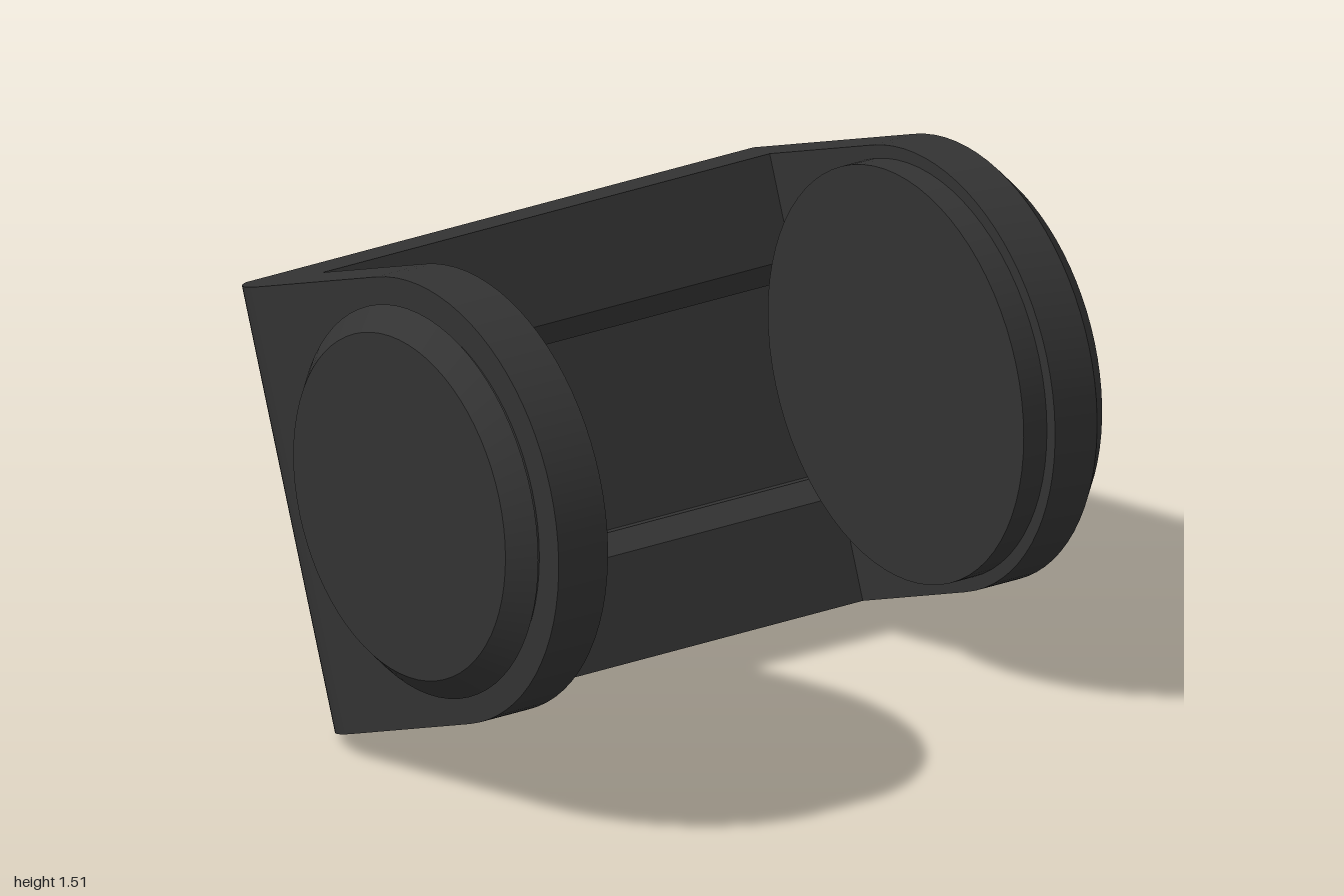
import * as THREE from 'three';
import { toCreasedNormals } from 'three/addons/utils/BufferGeometryUtils.js';

const R = 0.635;       // half height of the bracket and radius of its lobes
const BACK = 0.865;    // distance from lobe axis to back face
const BEVEL = 0.065;
const FILLET = 0.29;   // rounded back edge on the right side
const LEFT = 1, RIGHT = -0.92;

const material = new THREE.MeshStandardMaterial({ color: 0x333333 });

// Back face position at a given x, following the fillet and the bevel
function backAt(x) {
  const t = FILLET - (x - RIGHT);
  if (t > 0) return BACK - FILLET + Math.sqrt(Math.max(0, FILLET * FILLET - t * t));
  return BACK - insetAt(x);
}
const insetAt = (x) => Math.max(0, x - (LEFT - BEVEL));

// Bevelled back corners, bottom to top, as [depth, height]
function backCorners(x) {
  const u = backAt(x), r = R - insetAt(x);
  const c = Math.max(0, u - (BACK - BEVEL));
  return [[u - c, -r], [u, c - r], [u, r - c], [u - c, r]];
}

// D-shaped side plate section
function armSection(x) {
  const pts = [], r = R - insetAt(x), n = 40;
  for (let i = 0; i <= n; i++) {
    const a = Math.PI * (0.5 + i / n);
    pts.push([r * Math.cos(a), r * Math.sin(a)]);
  }
  return pts.concat(backCorners(x));
}

// Back wall section with a bevelled groove in its inner face
function wallSection(x) {
  const half = [[0.51, R], [0.51, 0.336], [0.57, 0.275], [0.64, 0.275]];
  const lower = half.map(([u, v]) => [u, -v]).reverse();
  return [...half, ...lower, ...backCorners(x)];
}

// Skin a section function across x stations
function loft(name, section, xs, capped) {
  const rings = xs.map((x) => section(x).map(([u, v]) => [x, v, -u]));
  const pos = [];
  const tri = (a, b, c) => pos.push(...a, ...b, ...c);
  for (let k = 0; k + 1 < rings.length; k++) {
    const a = rings[k], b = rings[k + 1];
    for (let i = 0; i < a.length; i++) {
      const j = (i + 1) % a.length;
      tri(a[i], a[j], b[j]);
      tri(a[i], b[j], b[i]);
    }
  }
  if (capped) {
    const first = rings[0], last = rings[rings.length - 1];
    const faces = (ring) => THREE.ShapeUtils.triangulateShape(
      ring.map((p) => new THREE.Vector2(-p[2], p[1])), []);
    for (const [a, b, c] of faces(first)) tri(first[a], first[c], first[b]);
    for (const [a, b, c] of faces(last)) tri(last[a], last[b], last[c]);
  }
  const geo = new THREE.BufferGeometry();
  geo.setAttribute('position', new THREE.Float32BufferAttribute(pos, 3));
  return part(name, toCreasedNormals(geo, Math.PI / 6));
}

function part(name, geometry) {
  const mesh = new THREE.Mesh(geometry, material);
  mesh.name = name;
  return mesh;
}

export function createModel() {
  const model = new THREE.Group();
  model.name = 'bracket';
  const body = new THREE.Group();
  body.name = 'tiltedBody';
  body.rotation.x = -THREE.MathUtils.degToRad(20);
  body.position.set(0, 0.88, 0.22);
  model.add(body);

  // Stations along the rounded edge, shared by the right arm and the wall
  const curve = [RIGHT + FILLET * (1 - Math.sqrt(1 - (0.225 / FILLET) ** 2))];
  for (let i = 0; i <= 16; i++) curve.push(RIGHT + FILLET * (1 - Math.cos((i / 16) * Math.PI / 2)));
  curve.sort((a, b) => a - b);
  const inner = -0.75;

  // U-shaped frame
  body.add(loft('rightArm', armSection, [...curve.filter((x) => x < inner - 0.001), inner], true));
  body.add(loft('backWall', wallSection, [inner, ...curve.filter((x) => x > inner + 0.001), 0.79], false));
  body.add(loft('leftArm', armSection, [0.79, LEFT - BEVEL, LEFT], true));

  // Round pad inside the left arm
  const pad = part('innerPad', new THREE.CylinderGeometry(0.597, 0.597, 0.09, 72));
  pad.rotation.z = Math.PI / 2;
  pad.position.x = 0.755;
  body.add(pad);

  // Round plate on the back face
  const plate = part('backPlate', new THREE.CylinderGeometry(0.597, 0.597, 0.127, 72));
  plate.rotation.x = Math.PI / 2;
  plate.position.set(0.2, 0, -0.8635);
  body.add(plate);

  // Tapered boss outside the right arm
  const profile = [[0.545, -0.01], [0.545, 0.012], [0.56, 0.015], [0.495, 0.08], [0, 0.08]]
    .map(([r, h]) => new THREE.Vector2(r, h));
  const boss = part('outerBoss', toCreasedNormals(new THREE.LatheGeometry(profile, 72), Math.PI / 6));
  boss.rotation.z = Math.PI / 2;
  boss.position.x = RIGHT;
  body.add(boss);

  return model;
}
